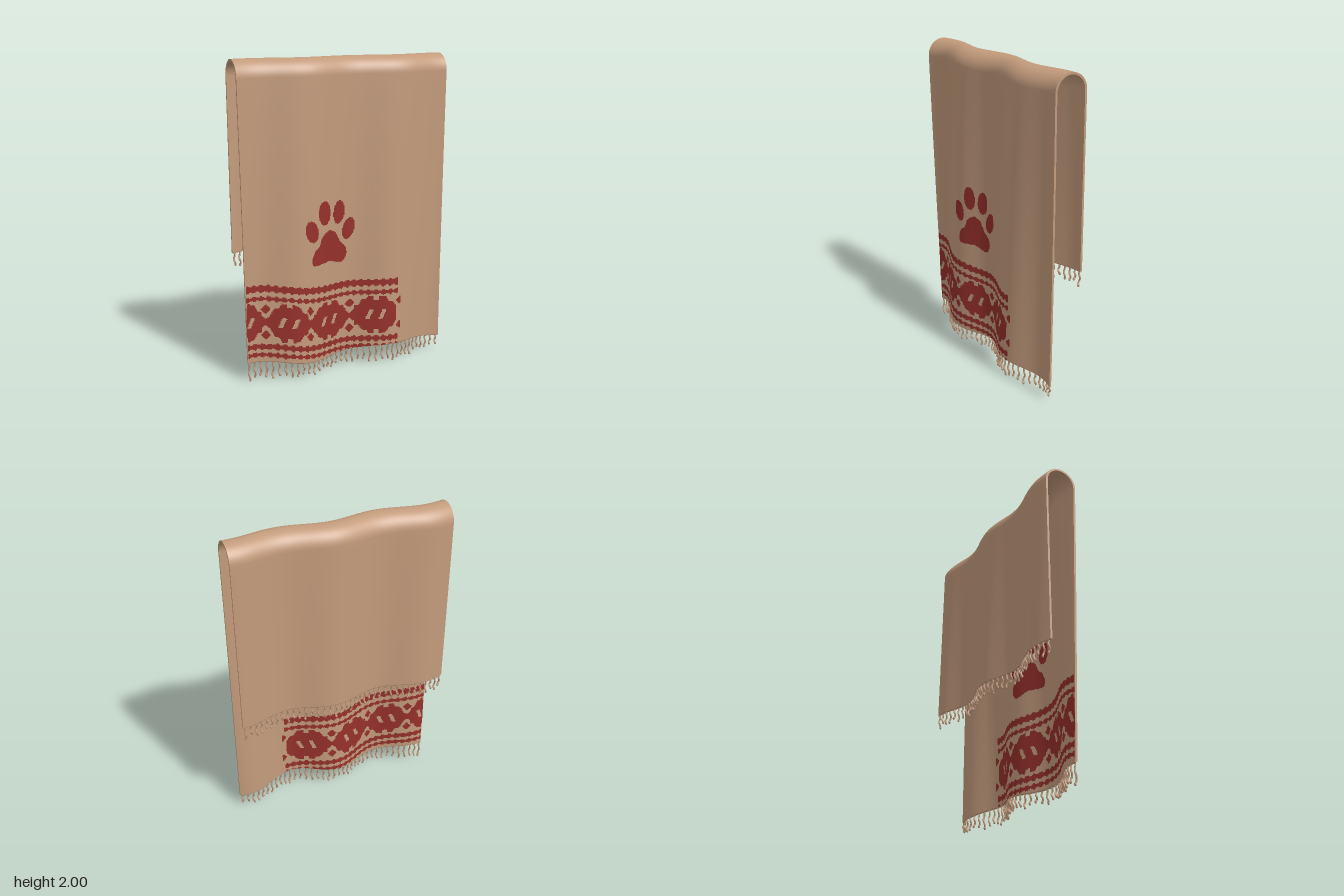
import * as THREE from 'three';
import { mergeGeometries } from 'three/addons/utils/BufferGeometryUtils.js';

const TOP = 1.895, RADIUS = 0.099, HALF = 0.0065, RIGHT = 0.69;

// Hang fraction: 0 at the fold, 1 at the hem
const hang = (y, front) => Math.max(0, (TOP - y) / (front ? 1.78 : 1.08));
const leftEdge = (t) => -0.697 + 0.03 * t;
const hemY = (x, front) => front ? 0.118 + 0.018 * Math.cos(Math.PI * 2 * (x - 0.29) / 0.9) : 0.815;

// Ripple of the cloth, deeper towards the hems
function ripple(x, t, front) {
  const amp = 0.0225 + t * (front ? 0.0235 : 0.012);
  const shift = front ? -0.06 * t : 0.02 * t;
  return -0.0075 - amp * Math.cos(Math.PI * 2 * (x - 0.05 - shift) / 0.615);
}

// Point on a hanging panel, off = distance outwards from the middle of the cloth
function panelPoint(x, y, front, off) {
  const z = (front ? 1 : -1) * (RADIUS + off) + ripple(x, hang(y, front), front);
  return new THREE.Vector3(x, y, z);
}

// Point on the whole draped sheet: u across, s in 0..3 = front panel, fold, back panel
function sheetPoint(u, s, off) {
  const front = s <= 1.5;
  if (s >= 1 && s <= 2) {
    const a = (s - 1) * Math.PI, x = THREE.MathUtils.lerp(leftEdge(0), RIGHT, u);
    const r = RADIUS + off;
    return new THREE.Vector3(x, TOP + Math.sin(a) * r, Math.cos(a) * r + ripple(x, 0, true));
  }
  const k = front ? 1 - s : s - 2;
  const x = THREE.MathUtils.lerp(leftEdge(front ? k : 0), RIGHT, u);
  return panelPoint(x, THREE.MathUtils.lerp(TOP, hemY(x, front), k), front, off);
}

// Regular grid surface from a point function
function grid(nu, nv, fn, flip = false) {
  const pos = [], index = [];
  for (let j = 0; j <= nv; j++)
    for (let i = 0; i <= nu; i++) pos.push(...fn(i / nu, j / nv).toArray());
  for (let j = 0; j < nv; j++)
    for (let i = 0; i < nu; i++) {
      const a = j * (nu + 1) + i, b = a + 1, c = a + nu + 1, d = c + 1;
      if (flip) index.push(a, d, b, a, c, d);
      else index.push(a, b, d, a, d, c);
    }
  const g = new THREE.BufferGeometry();
  g.setAttribute('position', new THREE.Float32BufferAttribute(pos, 3));
  g.setIndex(index);
  g.computeVertexNormals();
  return g;
}

function clothGeometry() {
  const N = 24, rows = N * 3, cols = 120;
  const hem = (s, dir) => grid(cols, 6, (u, v) => {
    const a = Math.PI * v;
    const p = sheetPoint(u, s, -dir * HALF * Math.cos(a));
    p.y -= HALF * Math.sin(a);
    return p;
  });
  const side = (u, flip) => grid(rows, 1, (s, v) => sheetPoint(u, s * 3, (v * 2 - 1) * HALF), flip);
  return mergeGeometries([
    grid(cols, rows, (u, v) => sheetPoint(u, v * 3, HALF)),
    grid(cols, rows, (u, v) => sheetPoint(u, v * 3, -HALF), true),
    hem(0, 1), hem(3, -1), side(1, false), side(0, true),
  ]);
}

// Woven colour: small stitches on both faces of the front panel wherever test(x, y) holds
function stitches(x0, x1, y0, y1, size, test) {
  const pos = [];
  const quad = (a, b, c, d) => [a, b, c, a, c, d].forEach((p) => pos.push(p.x, p.y, p.z));
  for (let y = y0; y < y1; y += size)
    for (let x = x0; x < x1; x += size) {
      if (!test(x + size / 2, y + size / 2)) continue;
      const at = (dx, dy, off) => panelPoint(x + dx * size, y + dy * size, true, off);
      const o = HALF + 0.0015;
      quad(at(0, 0, o), at(1, 0, o), at(1, 1, o), at(0, 1, o));
      quad(at(0, 0, -o), at(0, 1, -o), at(1, 1, -o), at(1, 0, -o));
    }
  const g = new THREE.BufferGeometry();
  g.setAttribute('position', new THREE.Float32BufferAttribute(pos, 3));
  g.computeVertexNormals();
  return g;
}

// Paw: a rounded pad and four oval toes
const padOutline = new THREE.SplineCurve([
  [-0.125, 0.948], [-0.078, 0.92], [-0.05, 0.865], [-0.008, 0.82], [0.002, 0.77], [-0.025, 0.724],
  [-0.07, 0.726], [-0.125, 0.743], [-0.2, 0.737], [-0.248, 0.737], [-0.26, 0.775], [-0.24, 0.825],
  [-0.205, 0.86], [-0.18, 0.915], [-0.125, 0.948],
].map(([x, y]) => new THREE.Vector2(x, y))).getPoints(80);
const toes = [
  [-0.257, 0.955, 0.043, 0.069, 0.22], [-0.165, 1.06, 0.044, 0.077, 0.03],
  [-0.056, 1.05, 0.042, 0.075, -0.1], [0.013, 0.935, 0.041, 0.071, -0.3],
];
function inPaw(x, y) {
  for (const [cx, cy, rx, ry, tilt] of toes) {
    const c = Math.cos(tilt), s = Math.sin(tilt), dx = x - cx, dy = y - cy;
    if (((dx * c + dy * s) / rx) ** 2 + ((dy * c - dx * s) / ry) ** 2 < 1) return true;
  }
  let inside = false;
  padOutline.forEach((p, i) => {
    const q = padOutline[(i + 1) % padOutline.length];
    if ((p.y > y) !== (q.y > y) && x < p.x + (q.x - p.x) * (y - p.y) / (q.y - p.y)) inside = !inside;
  });
  return inside;
}

// Border: paired scalloped stripes around a row of lattice medallions
const stripes = [[0.618, 0.021], [0.553, 0.013], [0.236, 0.017], [0.182, 0.013]];
const medallions = [[-0.68, 0.13], [-0.41, 0.135], [-0.13, 0.15], [0.19, 0.16]];
function inBorder(x, y) {
  if (x < leftEdge(hang(y, true)) + 0.003 || y < hemY(x, true)) return false;
  const v = y + 0.055 * THREE.MathUtils.smoothstep(x, -0.65, -0.05);
  const scallop = 0.005 * Math.sin(x * 140);
  if (x < 0.337 && stripes.some(([c, h]) => Math.abs(v - c) < h + scallop)) return true;
  const dy = Math.abs(v - 0.4);
  return medallions.some(([cx, hw]) => {
    const dx = x - cx, a = Math.abs(dx) / hw, b = dy / 0.13;
    if (a > 1.06) return false;
    // small diamonds between the medallions
    if (Math.abs(Math.abs(dx) - hw) + Math.abs(dy - 0.085) < 0.029) return true;
    // crossing arms
    if (x < 0.32 && a > 0.75 && b < 1.15 - a) return true;
    // eight-sided body with slanted openings and notched ends
    const body = a < 0.84 && b < 0.98 && a + b < 1.27 + 0.06 * Math.sin(dx * 130);
    const slot = (Math.abs(Math.abs(dx) - 0.04 - 0.4 * (v - 0.4) * Math.sign(dx)) < 0.013) && dy < 0.032;
    const notch = Math.abs(dx) < 0.016 && b > 0.78;
    return body && !slot && !notch;
  });
}

// Twisted cord hanging below a hem
function tassel(x, front, i) {
  const y = hemY(x, front), root = panelPoint(x, y, front, 0);
  const length = front ? y - 0.016 - 0.026 * Math.abs(Math.sin(i * 2.3)) : 0.08 + 0.014 * Math.sin(i * 2.3);
  const points = [];
  for (let k = 0; k <= 6; k++) {
    const f = k / 6, swing = 0.005 * Math.min(1, f * 2);
    points.push(new THREE.Vector3(
      root.x + swing * Math.sin(f * 8 + i), root.y - length * f, root.z + swing * Math.cos(f * 8 + i)));
  }
  const cord = new THREE.TubeGeometry(new THREE.CatmullRomCurve3(points), 12, 0.0058, 6);
  const tip = new THREE.SphereGeometry(0.0075, 7, 5).scale(1, 1.4, 1);
  tip.translate(points[6].x, points[6].y, points[6].z);
  return mergeGeometries([cord, tip]);
}

export function createModel() {
  const model = new THREE.Group();
  model.name = 'drapedBlanket';
  const wool = new THREE.MeshStandardMaterial({ color: 0xc39b7c });
  wool.name = 'tan wool';
  const red = new THREE.MeshStandardMaterial({ color: 0x96302b });
  red.name = 'red yarn';
  const add = (name, geometry, material) => {
    const mesh = new THREE.Mesh(geometry, material);
    mesh.name = name;
    model.add(mesh);
  };
  add('cloth', clothGeometry(), wool);
  add('pawPrint', stitches(-0.32, 0.08, 0.7, 1.16, 0.005, inPaw), red);
  add('patternBorder', stitches(-0.69, 0.37, 0.1, 0.66, 0.0065, inBorder), red);

  // Fringes along both hems
  for (const front of [true, false]) {
    const cords = [], count = 37, start = front ? -0.657 : -0.68;
    for (let i = 0; i < count; i++)
      cords.push(tassel(start + (0.675 - start) * i / (count - 1), front, i));
    add(front ? 'frontFringe' : 'backFringe', mergeGeometries(cords), wool);
  }
  return model;
}
